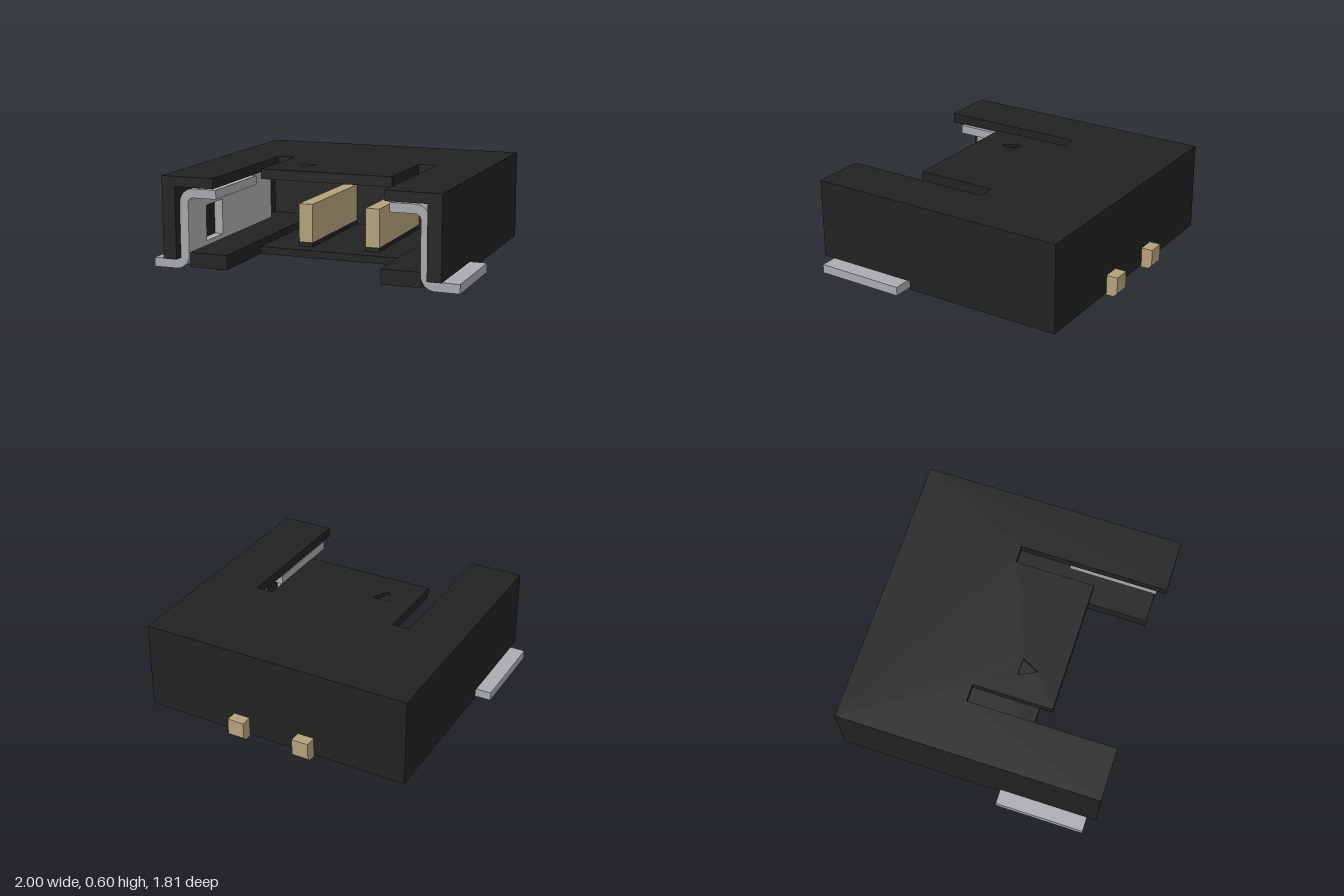
import * as THREE from 'three';

const mat = (name, color) => {
  const m = new THREE.MeshStandardMaterial({ color });
  m.name = name;
  return m;
};

export function createModel() {
  const model = new THREE.Group();
  model.name = 'connector';
  const black = mat('black plastic', 0x222222);
  const metal = mat('grey metal', 0xaaaaaf);
  const brass = mat('brass', 0xb5a27b);

  const add = (parent, name, geometry, material) => {
    const mesh = new THREE.Mesh(geometry, material);
    mesh.name = name;
    parent.add(mesh);
    return mesh;
  };
  const group = (name) => {
    const g = new THREE.Group();
    g.name = name;
    model.add(g);
    return g;
  };
  // Box given by its limits on each axis
  const box = (parent, name, material, [x0, x1], [y0, y1], [z0, z1]) => {
    const g = new THREE.BoxGeometry(x1 - x0, y1 - y0, z1 - z0);
    g.translate((x0 + x1) / 2, (y0 + y1) / 2, (z0 + z1) / 2);
    return add(parent, name, g, material);
  };
  // Limits mirrored for the other side
  const side = (s, a, b) => (s > 0 ? [a, b] : [-b, -a]);
  const polygon = (pts) => new THREE.Shape(pts.map(([x, y]) => new THREE.Vector2(x, y)));

  const housing = group('housing');

  // Roof: two arms, a centre tongue and slots between them
  const half = [[0.905, -0.83], [0.905, 0.905], [0.555, 0.905], [0.555, -0.08], [0.44, -0.08], [0.44, 0.45]];
  const outline = [...half, ...half.map(([x, z]) => [-x, z]).reverse()];
  const roofLayer = (name, top, depth, marked) => {
    const shape = polygon(outline);
    if (marked) shape.holes.push(polygon([[-0.29, 0.17], [-0.175, 0.17], [-0.2325, 0.285]]));
    const g = new THREE.ExtrudeGeometry(shape, { depth, bevelEnabled: false });
    g.rotateX(Math.PI / 2);
    g.translate(0, top, 0);
    add(housing, name, g, black);
  };
  roofLayer('roofWithTriangleMark', 0.595, 0.02, true);
  roofLayer('roofUnderside', 0.575, 0.045, false);

  box(housing, 'backWall', black, [-0.905, 0.905], [0.012, 0.53], [-0.83, -0.6]);
  box(housing, 'centreFloor', black, [-0.505, 0.505], [0.012, 0.06], [-0.6, 0.33]);
  for (const s of [1, -1]) {
    box(housing, 'sideWallRear', black, side(s, 0.815, 0.905), [0.012, 0.53], [-0.6, 0.225]);
    box(housing, 'sideWallFront', black, side(s, 0.815, 0.905), [0.07, 0.53], [0.225, 0.905]);
    box(housing, 'sideFloorRear', black, side(s, 0.505, 0.815), [0.012, 0.105], [-0.6, 0.225]);
    box(housing, 'sideFloorArm', black, side(s, 0.505, 0.757), [0.012, 0.105], [0.225, 0.83]);
    box(housing, 'pinSupport', black, side(s, 0.183, 0.278), [0.06, 0.09], [-0.6, 0.22]);
  }

  // Bent solder brackets: curved top lip, windowed web, curved foot
  const lip = new THREE.Shape();
  lip.moveTo(0.565, 0.455);
  lip.lineTo(0.722, 0.455);
  lip.absarc(0.722, 0.42, 0.035, Math.PI / 2, 0, true);
  lip.lineTo(0.757, 0.365);
  lip.lineTo(0.815, 0.365);
  lip.lineTo(0.815, 0.42);
  lip.absarc(0.722, 0.42, 0.093, 0, Math.PI / 2, false);
  lip.lineTo(0.565, 0.513);
  lip.closePath();

  const foot = new THREE.Shape();
  foot.moveTo(0.757, 0.135);
  foot.lineTo(0.757, 0.093);
  foot.absarc(0.85, 0.093, 0.093, Math.PI, Math.PI * 1.5, false);
  foot.lineTo(1, 0);
  foot.lineTo(1, 0.058);
  foot.lineTo(0.85, 0.058);
  foot.absarc(0.85, 0.093, 0.035, Math.PI * 1.5, Math.PI, true);
  foot.lineTo(0.815, 0.135);
  foot.closePath();

  const zBack = 0.255, zFront = 0.845;
  for (const s of [1, -1]) {
    const bracket = group(s > 0 ? 'leftBracket' : 'rightBracket');
    for (const [name, shape] of [['bracketLip', lip], ['bracketFoot', foot]]) {
      const g = new THREE.ExtrudeGeometry(shape, { depth: zFront - zBack, bevelEnabled: false, curveSegments: 8 });
      g.translate(0, 0, -(zFront - zBack) / 2);
      if (s < 0) g.rotateY(Math.PI);
      g.translate(0, 0, (zFront + zBack) / 2);
      add(bracket, name, g, metal);
    }
    const web = side(s, 0.757, 0.815);
    box(bracket, 'webFront', metal, web, [0.135, 0.365], [0.6, zFront]);
    box(bracket, 'webMiddle', metal, web, [0.135, 0.365], [zBack, 0.37]);
    box(bracket, 'webRear', metal, web, [0.09, 0.518], [-0.4, zBack]);
  }

  // Contact pins with solder tails through the back wall
  const tail = polygon([[-0.71, 0], [-0.88, 0], [-0.905, 0.025], [-0.905, 0.135], [-0.71, 0.135]]);
  for (const s of [1, -1]) {
    const pin = group(s > 0 ? 'leftPin' : 'rightPin');
    box(pin, 'pinBlade', brass, side(s, 0.183, 0.278), [0.09, 0.342], [-0.62, 0.22]);
    const g = new THREE.ExtrudeGeometry(tail, { depth: 0.112, bevelEnabled: false });
    g.rotateY(-Math.PI / 2); // profile now lies in z and y
    g.translate(s * 0.23 + 0.056, 0, 0);
    add(pin, 'pinTail', g, brass);
  }
  return model;
}
